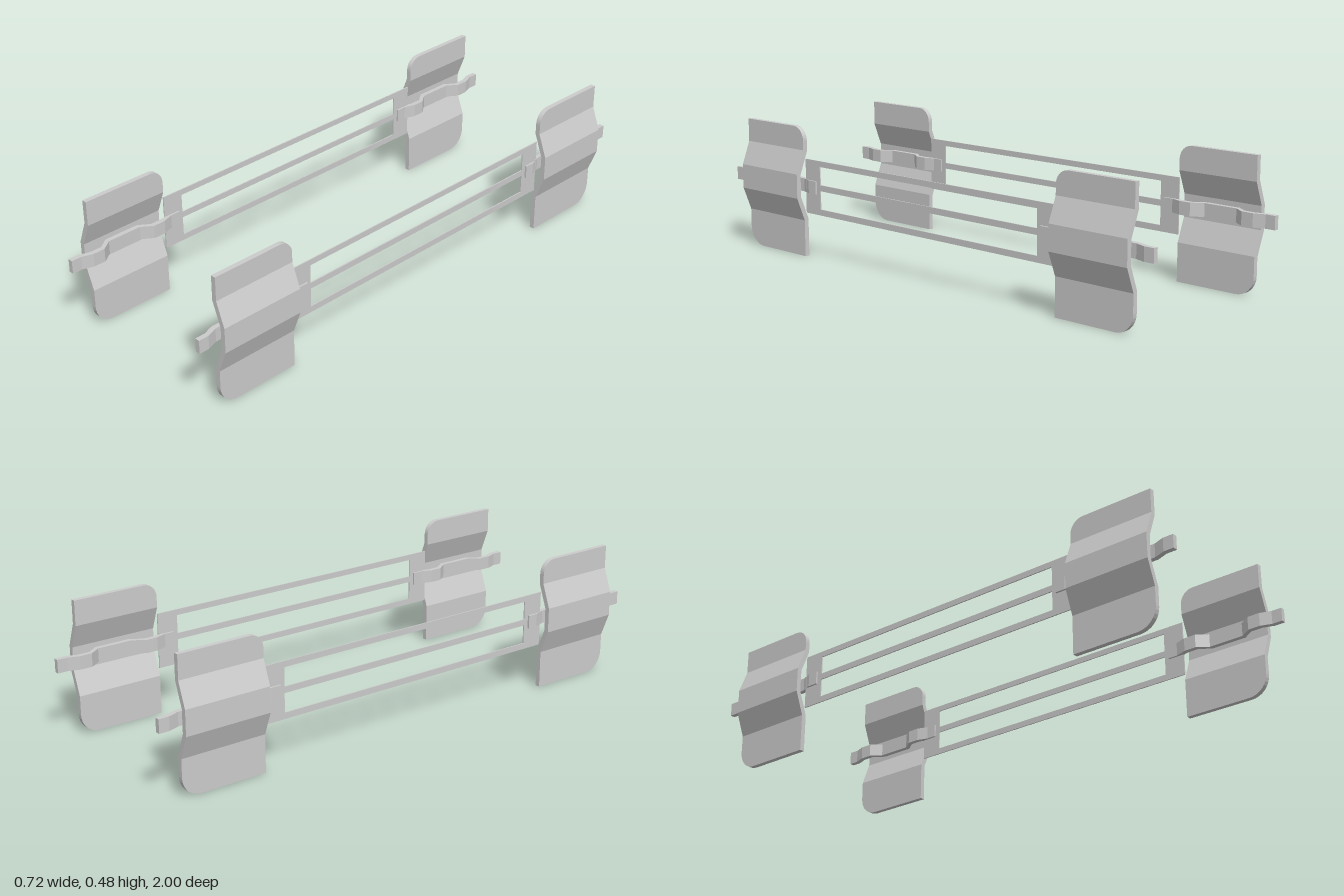
import * as THREE from 'three';

const material = new THREE.MeshStandardMaterial({ color: 0xcccccc, flatShading: true });

function addMesh(parent, name, geometry) {
  const mesh = new THREE.Mesh(geometry, material);
  mesh.name = name;
  parent.add(mesh);
  return mesh;
}

// Bent plate: stacked cross-sections following a profile that bulges outward.
// end = 1 for the front plate, -1 for the mirrored back plate.
function plateGeometry(end) {
  const thick = 0.018, zIn = 0.61, zOut = 0.925, height = 0.48;
  const rBottom = 0.07, rTop = 0.05, steps = 8;
  const rows = []; // [outer y, inner y, inner x, z near middle, z far end]
  for (let i = 0; i <= steps; i++) { // rounded lower outer corner
    const a = (i / steps) * Math.PI / 2;
    const y = rBottom * (1 - Math.cos(a));
    rows.push([y, y, 0.31, zIn, zOut - rBottom * (1 - Math.sin(a))]);
  }
  for (const [y, yi, x] of [[0.135, 0.139, 0.31], [0.22, 0.224, 0.343], [0.31, 0.306, 0.343], [0.395, 0.391, 0.31]])
    rows.push([y, yi, x, zIn, zOut]);
  for (let i = 0; i <= steps; i++) { // rounded upper inner corner
    const a = (i / steps) * Math.PI / 2;
    const y = height - rTop * (1 - Math.sin(a));
    rows.push([y, y, 0.31, zIn + rTop * (1 - Math.cos(a)), zOut]);
  }

  const pos = [], index = [];
  for (const [y, yi, x, z0, z1] of rows)
    pos.push(x, yi, end * z0, x + thick, y, end * z0, x + thick, y, end * z1, x, yi, end * z1);
  const quad = (a, b, c, d) =>
    end > 0 ? index.push(a, b, c, a, c, d) : index.push(a, c, b, a, d, c);
  for (let r = 0; r < rows.length - 1; r++)
    for (let i = 0; i < 4; i++) {
      const j = (i + 1) % 4, k = r * 4;
      quad(k + j, k + i, k + 4 + i, k + 4 + j);
    }
  const t = (rows.length - 1) * 4;
  quad(0, 1, 2, 3);
  quad(t + 3, t + 2, t + 1, t);

  const g = new THREE.BufferGeometry();
  g.setAttribute('position', new THREE.Float32BufferAttribute(pos, 3));
  g.setIndex(index);
  const flat = g.toNonIndexed();
  flat.computeVertexNormals();
  return flat;
}

// Strip that weaves inward beside the plate and outward into its bulge
function clipGeometry() {
  const thick = 0.018;
  const half = [[0.2275, 0.311], [0.19, 0.311], [0.15, 0.297], [0.105, 0.297], [0.065, 0.3255]];
  const path = [...half, ...half.map(([z, x]) => [-z, x]).reverse()];
  const outline = [
    ...path.map(([z, x]) => new THREE.Vector2(x, z)),
    ...path.map(([z, x]) => new THREE.Vector2(x + thick, z)).reverse(),
  ];
  const g = new THREE.ExtrudeGeometry(new THREE.Shape(outline), { depth: 0.048, bevelEnabled: false });
  return g.rotateX(Math.PI / 2).translate(0, 0.288, 0);
}

// Thin long frame with two slots, leaving a bar along its middle
function railGeometry() {
  const rect = (Type, w, y0, y1) => new Type([
    new THREE.Vector2(-w, y0), new THREE.Vector2(w, y0),
    new THREE.Vector2(w, y1), new THREE.Vector2(-w, y1),
  ]);
  const shape = rect(THREE.Shape, 0.605, 0.164, 0.364);
  shape.holes.push(rect(THREE.Path, 0.527, 0.186, 0.254), rect(THREE.Path, 0.527, 0.276, 0.343));
  const g = new THREE.ExtrudeGeometry(shape, { depth: 0.004, bevelEnabled: false });
  return g.rotateY(Math.PI / 2).translate(0.318, 0, 0);
}

export function createModel() {
  const model = new THREE.Group();
  model.name = 'slottedRailPair';
  const rail = railGeometry(), clip = clipGeometry();
  const plates = { front: plateGeometry(1), back: plateGeometry(-1) };

  // Each side is the other turned half way round
  for (const [name, turn] of [['leftSide', 0], ['rightSide', Math.PI]]) {
    const side = new THREE.Group();
    side.name = name;
    side.rotation.y = turn;
    addMesh(side, 'slottedRail', rail);
    for (const [end, s] of [['front', 1], ['back', -1]]) {
      const place = turn ? (s > 0 ? 'back' : 'front') : end;
      addMesh(side, place + 'BentPlate', plates[end]);
      addMesh(side, place + 'WovenClip', clip).position.z = s * 0.7725;
    }
    model.add(side);
  }
  return model;
}
